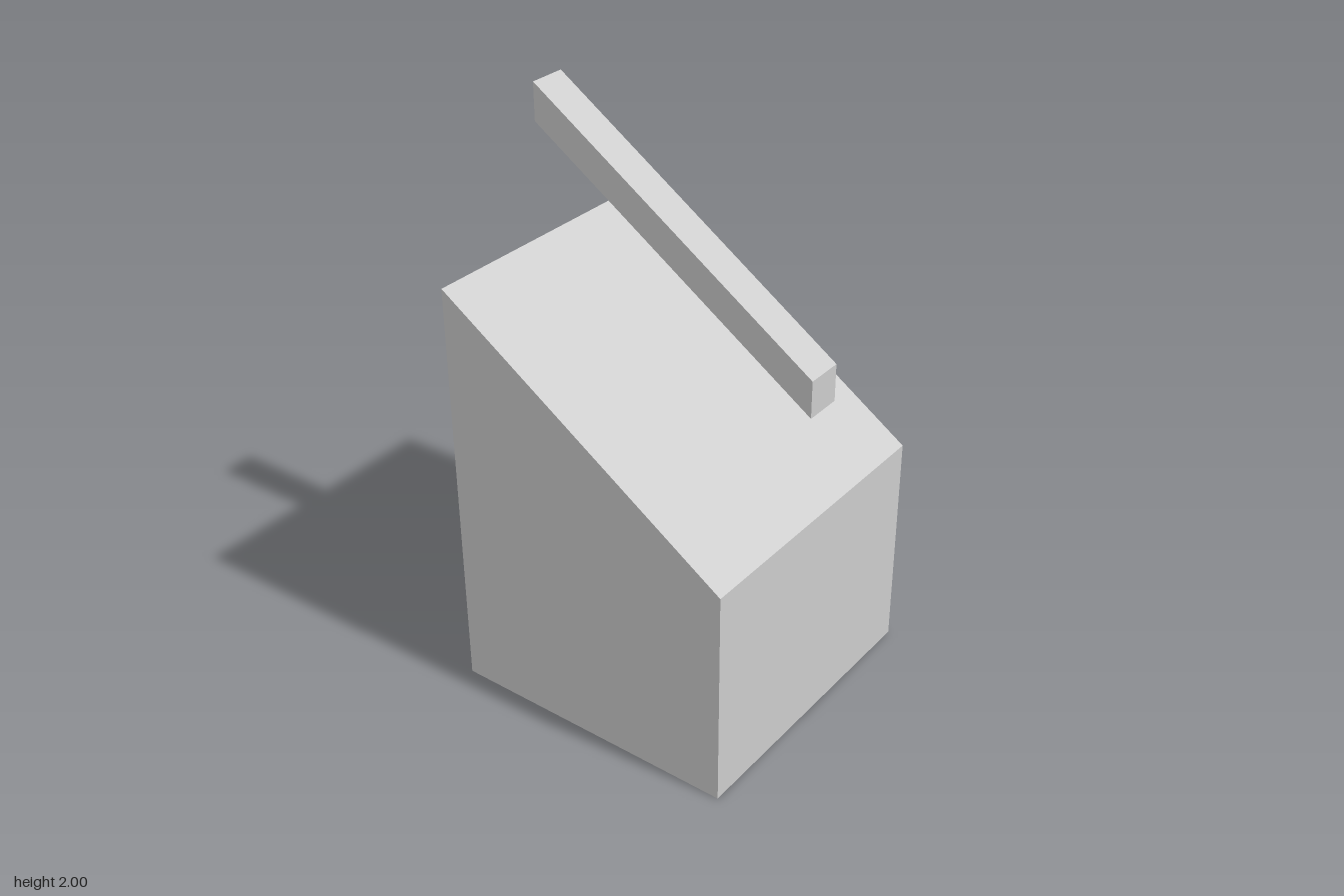
import * as THREE from 'three';

const material = new THREE.MeshStandardMaterial({ color: 0xcccccc, flatShading: true });
const half = 0.522; // half depth and half width of the block
const rise = 0.695; // height gained from front to back

// Side profile with vertical ends, extruded across the width
function slopedPart(name, width, frontBottom, backBottom, frontTop) {
  const profile = new THREE.Shape([
    new THREE.Vector2(half, frontBottom),
    new THREE.Vector2(half, frontTop),
    new THREE.Vector2(-half, frontTop + rise),
    new THREE.Vector2(-half, backBottom),
  ]);
  const geometry = new THREE.ExtrudeGeometry(profile, { depth: width, bevelEnabled: false });
  geometry.translate(0, 0, -width / 2);
  geometry.rotateY(-Math.PI / 2); // profile x becomes z
  const mesh = new THREE.Mesh(geometry, material);
  mesh.name = name;
  return mesh;
}

export function createModel() {
  const model = new THREE.Group();
  model.name = 'slopedBlockWithRail';
  // Block with a slanted top
  model.add(slopedPart('slopedBlock', half * 2, 0, 0, 0.785));
  // Handrail floating parallel to the slope
  model.add(slopedPart('handrail', 0.131, 1.177, 1.177 + rise, 1.305));
  return model;
}
